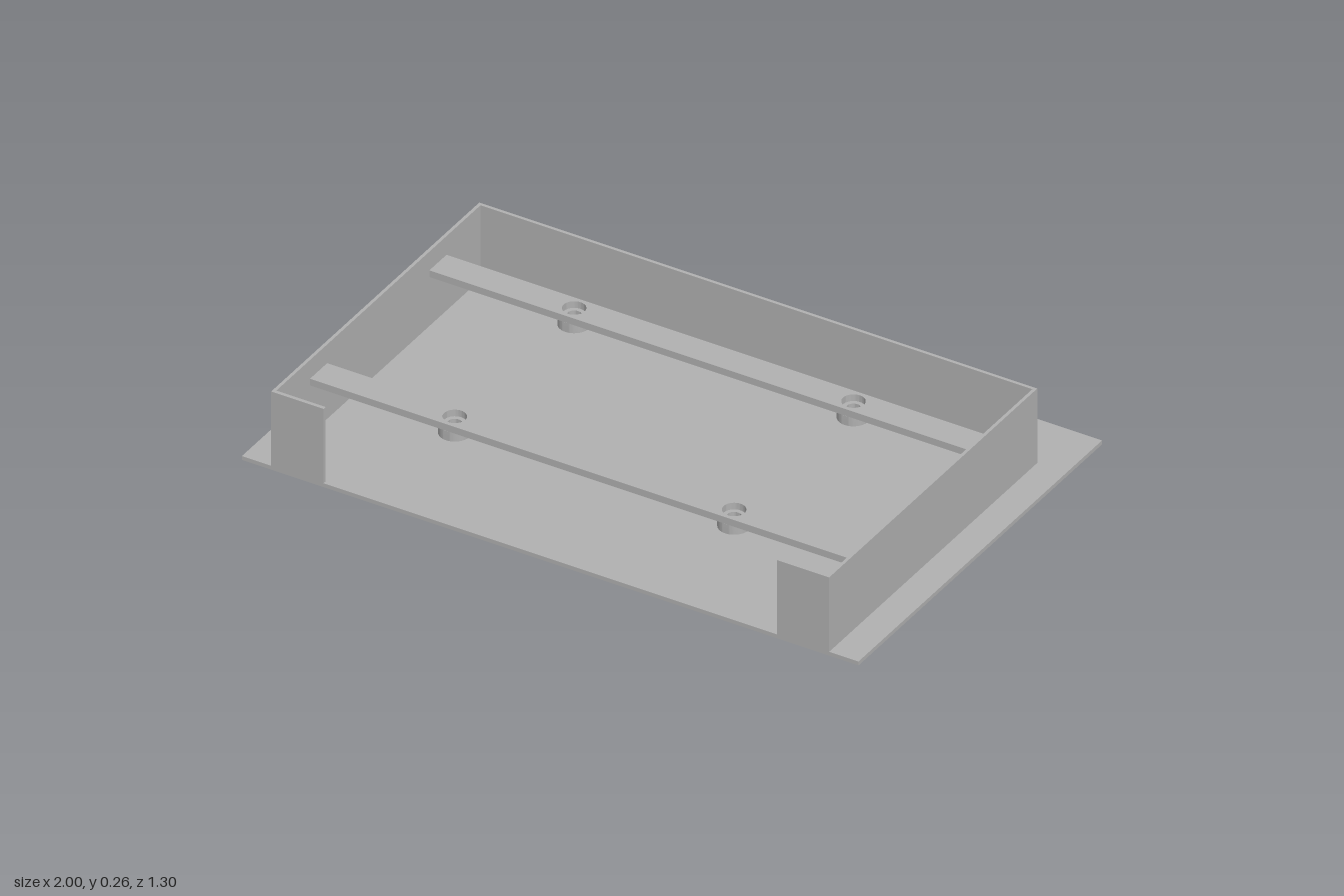
import * as THREE from 'three';
import { toCreasedNormals } from 'three/addons/utils/BufferGeometryUtils.js';

export function createModel() {
  const model = new THREE.Group();
  model.name = 'openTray';
  const grey = new THREE.MeshStandardMaterial({ color: 0xb0b0b0 });
  grey.name = 'plain grey';

  const add = (name, geometry) => {
    const mesh = new THREE.Mesh(geometry, grey);
    mesh.name = name;
    model.add(mesh);
    return mesh;
  };
  // Box given by its extents on each axis
  const box = (name, x0, x1, y0, y1, z0, z1) =>
    add(name, new THREE.BoxGeometry(x1 - x0, y1 - y0, z1 - z0))
      .position.set((x0 + x1) / 2, (y0 + y1) / 2, (z0 + z1) / 2);
  // Flat outline drawn in x and -z, raised from y0 to y1
  const slab = (name, shape, y0, y1) => {
    const g = new THREE.ExtrudeGeometry(shape, { depth: y1 - y0, bevelEnabled: false, curveSegments: 32 });
    g.rotateX(-Math.PI / 2);
    const mesh = add(name, toCreasedNormals(g, 0.6));
    mesh.position.y = y0;
    return mesh;
  };
  const circle = (path, x, r) => path.absarc(x, 0, r, 0, Math.PI * 2, false);

  const baseTop = 0.013, top = 0.26, outer = 0.905, inner = 0.895;
  const railBottom = 0.176, railTop = 0.198, fittingX = 0.453;

  // Base plate
  box('basePlate', -1, 1, 0, baseTop, -0.652, 0.652);

  // Thin walls, with short return lips leaving the front open
  box('backWall', -outer, outer, baseTop, top, -0.462, -0.452);
  for (const [side, s] of [['left', 1], ['right', -1]]) {
    const span = (a, b) => (s > 0 ? [a, b] : [-b, -a]);
    box(side + 'Wall', ...span(inner, outer), baseTop, top, -0.452, 0.652);
    box(side + 'FrontLip', ...span(0.735, inner), baseTop, top, 0.641, 0.652);
  }

  // Cross rails with round holes and a ring fitting under each hole
  for (const [place, z] of [['back', -0.224], ['front', 0.415]]) {
    const h = 0.046;
    const rail = new THREE.Shape([
      new THREE.Vector2(-inner, -h), new THREE.Vector2(inner, -h),
      new THREE.Vector2(inner, h), new THREE.Vector2(-inner, h),
    ]);
    for (const x of [-fittingX, fittingX]) {
      rail.holes.push(circle(new THREE.Path(), x, 0.034));
      const ring = circle(new THREE.Shape(), 0, 0.047);
      ring.holes.push(circle(new THREE.Path(), 0, 0.021));
      const fitting = slab(place + 'RingFitting', ring, 0.145, railBottom);
      fitting.position.x = x;
      fitting.position.z = z;
    }
    slab(place + 'Rail', rail, railBottom, railTop).position.z = z;
  }
  return model;
}
